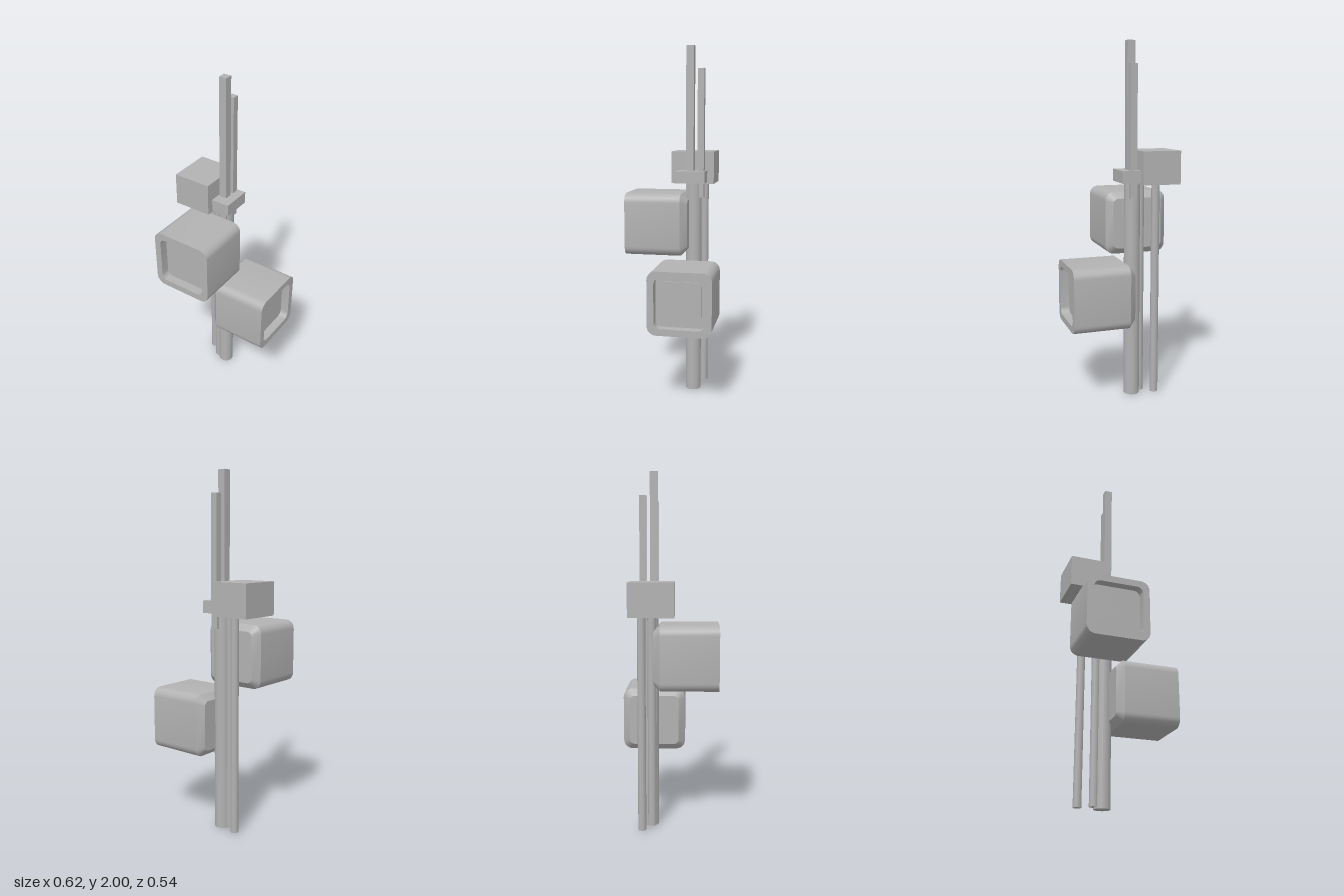
import * as THREE from 'three';
import { toCreasedNormals } from 'three/addons/utils/BufferGeometryUtils.js';

// Counter-clockwise rounded square of half-size h and corner radius r at depth z
function ring(h, r, z) {
  const points = [];
  for (let corner = 0; corner < 4; corner++) {
    const start = corner * Math.PI / 2;
    const cx = (corner === 0 || corner === 3 ? 1 : -1) * (h - r);
    const cy = (corner < 2 ? 1 : -1) * (h - r);
    for (let k = 0; k <= 6; k++) {
      const a = start + k * Math.PI / 12;
      points.push([cx + r * Math.cos(a), cy + r * Math.sin(a), z]);
    }
  }
  return points;
}

// Skin consecutive rings, from the recess floor, over the rim, to the back
function loft(rings) {
  const positions = [];
  for (let i = 0; i < rings.length - 1; i++) {
    const p = rings[i], q = rings[i + 1], n = p.length;
    for (let j = 0; j < n; j++) {
      const k = (j + 1) % n;
      if (i < rings.length - 2) positions.push(...p[j], ...q[j], ...q[k]);
      else positions.push(...p[j], ...q[j], ...p[k]);
      if (i > 0 && i < rings.length - 2) positions.push(...p[j], ...q[k], ...p[k]);
    }
  }
  const geometry = new THREE.BufferGeometry();
  geometry.setAttribute('position', new THREE.Float32BufferAttribute(positions, 3));
  return toCreasedNormals(geometry, 0.6);
}

export function createModel() {
  const model = new THREE.Group();
  model.name = 'signalPost';
  const grey = new THREE.MeshStandardMaterial({ color: 0xb2b2b2 });
  grey.name = 'grey';

  const add = (name, geometry, x, y, z) => {
    const mesh = new THREE.Mesh(geometry, grey);
    mesh.name = name;
    mesh.position.set(x, y, z);
    model.add(mesh);
    return mesh;
  };
  // Box given by its minimum and maximum corners
  const box = (name, a, b) => add(name,
    new THREE.BoxGeometry(b[0] - a[0], b[1] - a[1], b[2] - a[2]),
    (a[0] + b[0]) / 2, (a[1] + b[1]) / 2, (a[2] + b[2]) / 2);
  const pole = (name, r, sides, x, z, y0, y1) => add(name,
    new THREE.CylinderGeometry(r, r, y1 - y0, sides), x, (y0 + y1) / 2, z);

  // Upright poles
  pole('mainPole', 0.045, 16, -0.068, -0.11, 0, 1.24);
  pole('outerConduit', 0.023, 10, -0.19, -0.155, 0.01, 1.3);
  pole('innerConduit', 0.024, 10, -0.117, -0.102, 0.01, 1.36);

  // Masts held by a clamp, and the control box
  box('tallMast', [-0.084, 1.16, -0.111], [-0.04, 2, -0.067]);
  box('shortMast', [-0.077, 1.15, -0.17], [-0.038, 1.875, -0.133]);
  box('mastClamp', [-0.095, 1.235, -0.182], [0.012, 1.303, -0.01]);
  box('controlBox', [-0.314, 1.225, -0.22], [-0.094, 1.41, 0.028]);

  // Lamp housing: recessed face, rounded shell and chamfered back
  const shell = [
    ring(0.14, 0.035, -0.05),
    ring(0.14, 0.035, 0),
    ring(0.178, 0.05, 0),
    ring(0.178, 0.05, -0.32),
    ring(0.142, 0.03, -0.357),
    ring(0, 0, -0.357),
  ];
  add('frontLamp', loft([ring(0, 0, -0.05), ...shell]), -0.109, 0.998, 0.27);

  // The side lamp has a raised panel on its recessed face
  const panel = [ring(0, 0, -0.042), ring(0.114, 0.03, -0.042), ring(0.114, 0.03, -0.05)];
  const sideLamp = add('sideLamp', loft([...panel, ...shell]), 0.311, 0.61, -0.094);
  sideLamp.rotation.y = Math.PI / 2;

  return model;
}
